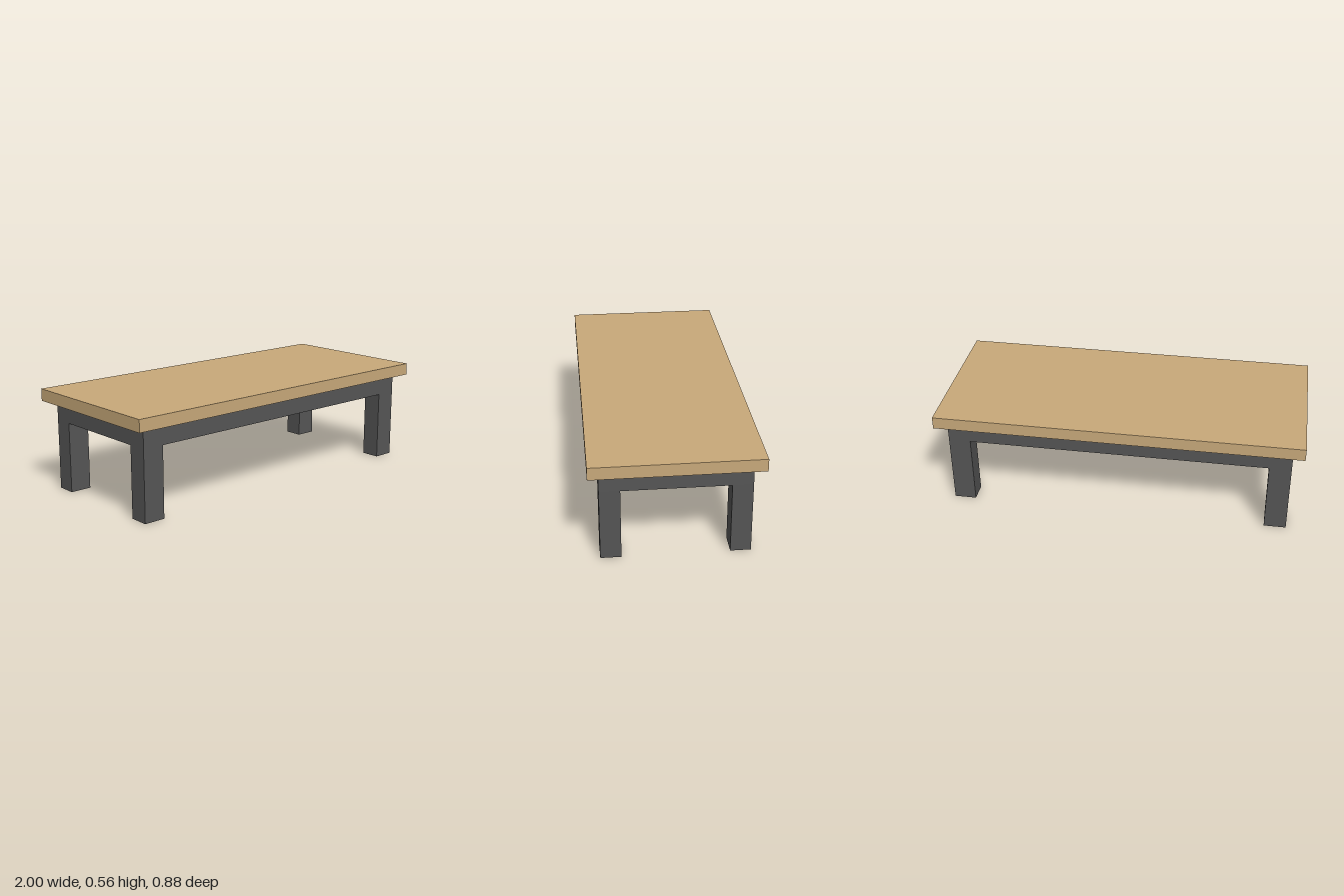
import * as THREE from 'three';

export function createModel() {
  const group = new THREE.Group();
  const wood = new THREE.MeshStandardMaterial({ name: 'lightWood', color: 0xc8a97a });
  const dark = new THREE.MeshStandardMaterial({ name: 'darkGrey', color: 0x555555 });

  // Box standing on height y
  const box = (name, material, w, h, d, x, y, z) => {
    const mesh = new THREE.Mesh(new THREE.BoxGeometry(w, h, d), material);
    mesh.name = name;
    mesh.position.set(x, y + h / 2, z);
    group.add(mesh);
  };

  const frameY = 0.387, topY = 0.493;
  const frameW = 1.876, frameD = 0.77;
  const legW = 0.12, legD = 0.107;

  // Overhanging top and the solid frame beneath it
  box('tableTop', wood, 2, 0.067, 0.88, 0, topY, 0);
  box('frame', dark, frameW, topY - frameY, frameD, 0, frameY, 0);

  // Legs flush with the frame corners
  for (const [side, sx] of [['Left', 1], ['Right', -1]]) {
    for (const [end, sz] of [['front', 1], ['back', -1]]) {
      box(`${end}${side}Leg`, dark, legW, frameY, legD,
        sx * (frameW - legW) / 2, 0, sz * (frameD - legD) / 2);
    }
  }
  return group;
}
